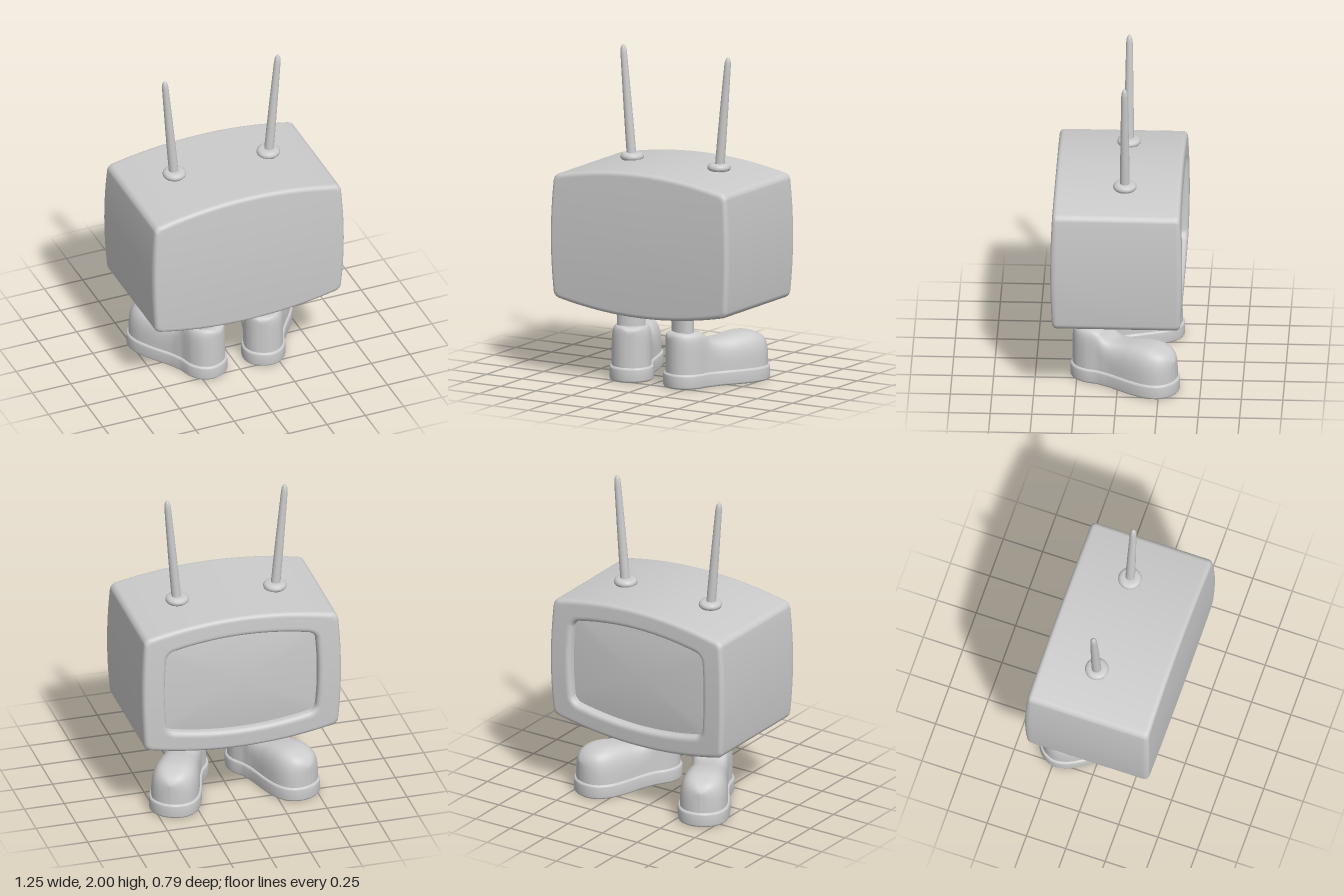
import * as THREE from 'three';
import { toCreasedNormals } from 'three/addons/utils/BufferGeometryUtils.js';

const material = new THREE.MeshStandardMaterial({ color: 0xcccccc });
const CENTER_Y = 0.875;

function add(parent, name, geometry) {
  const mesh = new THREE.Mesh(geometry, material);
  mesh.name = name;
  parent.add(mesh);
  return mesh;
}

// Skin between successive rings of [x, y, z] points
function loft(rings, closed) {
  const n = rings[0].length, index = [];
  for (let i = 0; i < rings.length - 1; i++) {
    for (let j = 0; j < (closed ? n : n - 1); j++) {
      const a = i * n + j, c = i * n + (j + 1) % n;
      index.push(a, a + n, c, a + n, c + n, c);
    }
  }
  const geometry = new THREE.BufferGeometry();
  geometry.setAttribute('position', new THREE.Float32BufferAttribute(rings.flat(2), 3));
  geometry.setIndex(index);
  geometry.computeVertexNormals();
  return geometry;
}

// Rounded rectangle whose sides swell by bx and by; z bows outward at mid height
function cushionRing(hx, hy, bx, by, r, z, bow, scale = 1) {
  const corners = [[1, -1], [1, 1], [-1, 1], [-1, -1]], pts = [];
  corners.forEach(([sx, sy], k) => {
    const arc = [];
    for (let i = 0; i <= 6; i++) {
      const a = (k - 1 + i / 6) * Math.PI / 2;
      arc.push([sx * (hx - r) + r * Math.cos(a), sy * (hy - r) + r * Math.sin(a)]);
    }
    const [nx, ny] = corners[(k + 1) % 4], last = arc[6];
    const a1 = k * Math.PI / 2;
    const next = [nx * (hx - r) + r * Math.cos(a1), ny * (hy - r) + r * Math.sin(a1)];
    pts.push(...arc);
    for (let i = 1; i < 16; i++) {
      pts.push([0, 1].map(c => last[c] + (next[c] - last[c]) * i / 16));
    }
  });
  return pts.map(([x, y]) => {
    const u = x / hx, v = y / hy;
    const px = scale * (x + u * bx * (1 - v * v));
    const py = scale * (y + v * by * (1 - u * u));
    return [px, CENTER_Y + py, z + bow * (1 - (py / 0.445) ** 2)];
  });
}

function buildCabinet(group) {
  const R = 0.022, Z = 0.38, BOW = 0.015;
  const outer = (inset, z, bow, scale) =>
    cushionRing(0.605 - inset, 0.375 - inset, 0.02, 0.07, 0.03, z, bow, scale);
  const opening = (grow, z, bow, scale) =>
    cushionRing(0.465 + grow, 0.265 + grow, 0.015, 0.055, 0.04 + grow, z, bow, scale);

  const rings = [];
  // plain wall on +z
  for (const s of [0, 0.2, 0.4, 0.6, 0.8, 0.95, 0.99]) rings.push(outer(R, Z, BOW, s));
  // rounded edge, sides, rounded edge
  const edge = [0, 1, 2, 3, 4, 5].map(k => k / 5 * Math.PI / 2);
  for (const a of edge) {
    rings.push(outer(R * (1 - Math.sin(a)), Z - R * (1 - Math.cos(a)), BOW * Math.cos(a)));
  }
  for (const z of [0.34, 0, -0.34]) rings.push(outer(0, z, 0));
  for (const a of edge.reverse()) {
    rings.push(outer(R * (1 - Math.sin(a)), -Z + R * (1 - Math.cos(a)), -BOW * Math.cos(a)));
  }
  // screen frame and its rounded inner lip
  rings.push(outer(R + 0.008, -Z, -BOW), opening(0.035, -Z, -BOW));
  for (let k = 0; k <= 5; k++) {
    const a = k / 5 * Math.PI / 2;
    rings.push(opening(0.028 * (1 - Math.sin(a)), -Z + 0.028 * (1 - Math.cos(a)), -BOW));
  }
  rings.push(opening(0, -0.32, -BOW));
  add(group, 'cabinet', loft(rings, true));

  // gently domed screen
  const screen = [];
  for (let k = 8; k >= 0; k--) {
    const s = k / 8;
    screen.push(opening(0.004, -0.328 - 0.015 * (1 - s * s), -BOW, s));
  }
  add(group, 'screen', loft(screen, true));
}

function buildAntenna(side) {
  const antenna = new THREE.Group();
  antenna.name = side > 0 ? 'leftAntenna' : 'rightAntenna';
  antenna.position.set(side * 0.306, 1.28, -0.042);
  const lathe = (pts, n) =>
    new THREE.LatheGeometry(pts.map(p => new THREE.Vector2(...p)), n);
  add(antenna, 'antennaBase', toCreasedNormals(lathe([
    [0.048, 0], [0.05, 0.02], [0.062, 0.022], [0.069, 0.03], [0.071, 0.04], [0.068, 0.051],
    [0.06, 0.059], [0.048, 0.063], [0.036, 0.064], [0, 0.064]], 40), 0.8));
  const rod = add(antenna, 'antennaRod', lathe([
    [0.029, 0.03], [0.028, 0.2], [0.025, 0.4], [0.021, 0.62], [0.02, 0.67], [0.018, 0.695],
    [0.013, 0.712], [0.007, 0.721], [0, 0.723]], 24));
  rod.rotation.z = -side * 0.088;
  return antenna;
}

function buildFoot(side) {
  const foot = new THREE.Group();
  foot.name = side > 0 ? 'leftFoot' : 'rightFoot';
  foot.position.set(side * 0.19, 0, 0.155);
  foot.rotation.y = Math.PI - side * 0.456;

  // stations from heel to toe: distance, half width, height above sole
  const curve = new THREE.CatmullRomCurve3([
    [-0.12, 0, 0.2], [-0.116, 0.035, 0.225], [-0.1, 0.07, 0.243], [-0.06, 0.105, 0.25],
    [0, 0.12, 0.252], [0.045, 0.116, 0.25], [0.08, 0.11, 0.238], [0.1, 0.109, 0.218],
    [0.125, 0.11, 0.197], [0.165, 0.112, 0.186], [0.23, 0.122, 0.19], [0.32, 0.137, 0.204],
    [0.42, 0.142, 0.208], [0.49, 0.124, 0.19], [0.53, 0.09, 0.165], [0.553, 0.045, 0.135],
    [0.56, 0, 0.115]].map(p => new THREE.Vector3(...p)));
  const stations = curve.getPoints(80);

  // boot upper: square-shouldered at the ankle, rounder toward the toe
  const rings = stations.map(({ x: s, y: w, z: h }) => {
    const p = 0.3 + 0.32 * THREE.MathUtils.smoothstep(s, 0.04, 0.25);
    return Array.from({ length: 33 }, (_, j) => {
      const a = Math.PI * (1 - j / 32), c = Math.cos(a);
      return [Math.max(w, 0) * Math.sign(c) * Math.abs(c) ** p,
        0.085 + (h + 0.005) * Math.abs(Math.sin(a)) ** p, s];
    });
  });
  add(foot, 'bootUpper', loft(rings, false));

  // sole follows the same plan, slightly larger
  const half = stations.filter((_, i) => i % 2 === 0);
  const plan = [
    ...half.map(p => new THREE.Vector2(Math.max(p.y, 0), -p.x)),
    ...half.slice(1, -1).reverse().map(p => new THREE.Vector2(-p.y, -p.x))];
  const sole = new THREE.ExtrudeGeometry(new THREE.Shape(plan), {
    depth: 0.062, bevelEnabled: true, bevelThickness: 0.014, bevelSize: 0.013, bevelSegments: 4 });
  sole.rotateX(-Math.PI / 2).translate(0, 0.014, 0);
  add(foot, 'sole', toCreasedNormals(sole, 0.7));

  // leg
  const leg = add(foot, 'leg', new THREE.CylinderGeometry(1, 1, 0.22, 32));
  leg.scale.set(0.086, 1, 0.058);
  leg.position.set(0, 0.41, -0.02);
  return foot;
}

export function createModel() {
  const model = new THREE.Group();
  model.name = 'walkingTelevision';
  buildCabinet(model);
  for (const side of [-1, 1]) model.add(buildAntenna(side), buildFoot(side));
  return model;
}
